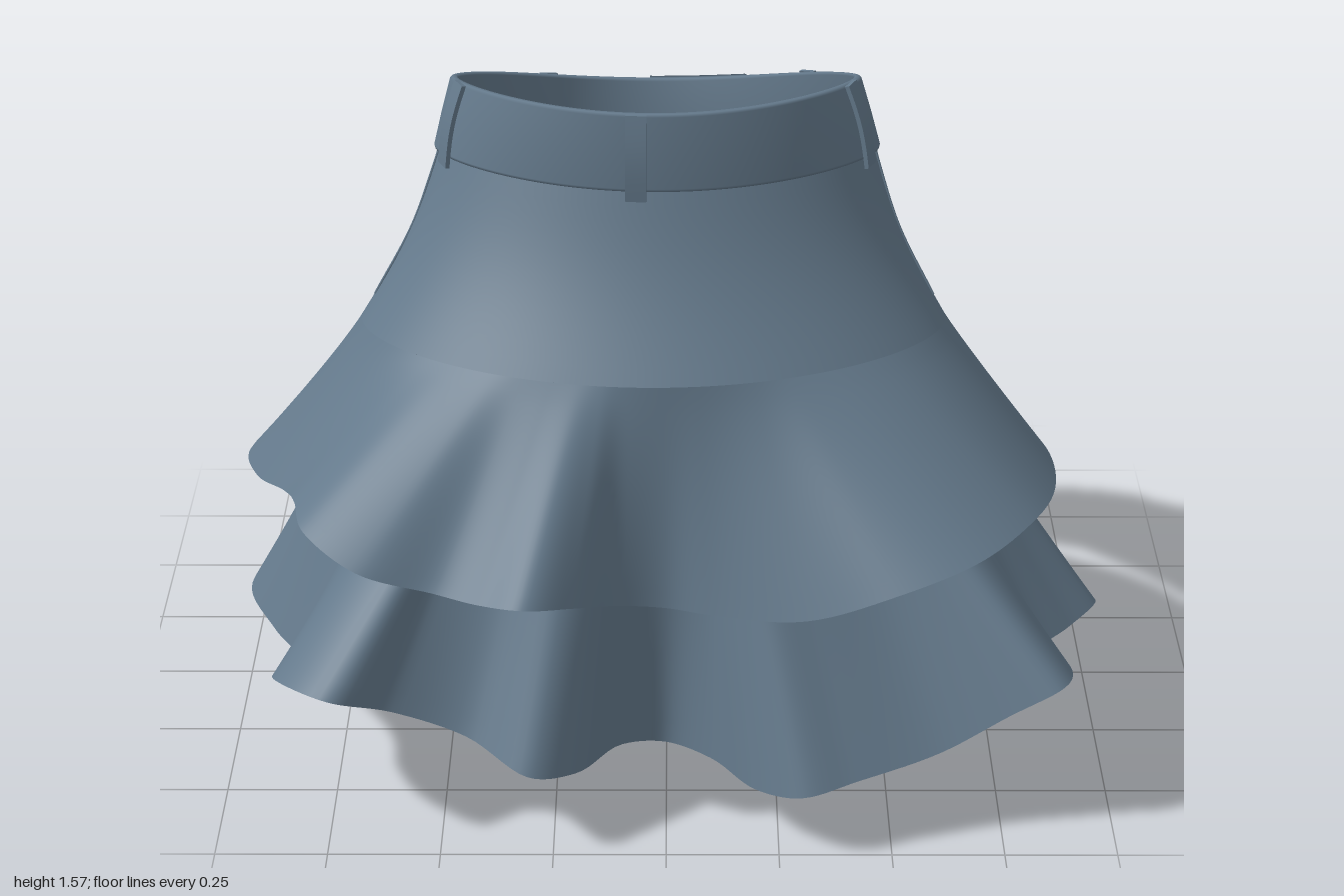
import * as THREE from 'three';

const fabric = new THREE.MeshStandardMaterial({ color: 0x64798b, side: THREE.DoubleSide });
fabric.name = 'slateDenim';

const V = (x, y, z) => new THREE.Vector3(x, y, z);
const rad = THREE.MathUtils.degToRad;

// Tilted elliptical ring; angle 0 is the front, growing towards +x; pinch above 1 points the back
const makeRing = (cx, rx, zFront, zBack, yFront, drop, power, pinch = 1) => {
  const cz = (zFront + zBack) / 2, rz = (zFront - zBack) / 2;
  const at = (a) => {
    const cos = Math.cos(a), c = cos < 0 ? -Math.pow(-cos, pinch) : cos;
    return V(cx + rx * Math.sin(a), yFront - drop * Math.pow((1 - c) / 2, power), cz + rz * c);
  };
  return { at, angleOf: (p) => Math.atan2((p.x - cx) / rx, (p.z - cz) / rz) };
};
const waistTop = makeRing(-0.025, 0.45, 0.265, -0.49, 1.572, 0.23, 1.8, 1.35);
const waistLow = makeRing(-0.022, 0.492, 0.28, -0.455, 1.4, 0.2, 1.9, 1.2);
const seam = makeRing(-0.03, 0.66, 0.485, -0.41, 1.03, 0.16, 1.8);
const lining = makeRing(-0.03, 0.635, 0.467, -0.39, 0.95, 0.14, 1.8);

// Sheet of quads from a point function of (u, v)
function sheet(name, fn, nu, nv, closed) {
  const pos = [], idx = [], cols = closed ? nu : nu + 1;
  for (let j = 0; j <= nv; j++)
    for (let i = 0; i < cols; i++) pos.push(...fn(i / nu, j / nv).toArray());
  for (let j = 0; j < nv; j++)
    for (let i = 0; i < nu; i++) {
      const k = (i + 1) % cols, a = j * cols + i, b = j * cols + k;
      idx.push(a, a + cols, b, b, a + cols, b + cols);
    }
  const g = new THREE.BufferGeometry();
  g.setAttribute('position', new THREE.Float32BufferAttribute(pos, 3));
  g.setIndex(idx);
  g.computeVertexNormals();
  const m = new THREE.Mesh(g, fabric);
  m.name = name;
  return m;
}

const outward = (a) => V(Math.sin(a), 0, Math.cos(a));
// Points on the waistband and on the yoke, pushed out by d
const bandAt = (a, t, d) => waistTop.at(a).lerp(waistLow.at(a), t).addScaledVector(outward(a), d);
const yokeAt = (a, t, d = 0) => {
  const p = waistLow.at(a).lerp(seam.at(a), t);
  return p.addScaledVector(outward(a), d - 0.02 * Math.sin(Math.PI * t));
};

// Hem waves, running from the front round through +x
const upperHem = [
  [0, .53, .57], [.1, .53, .6], [.3, .57, .69], [.5, .66, .73], [.67, .705, .67], [.8, .715, .51],
  [.87, .68, .3], [.88, .64, .05], [.83, .58, -.2], [.72, .5, -.4], [.6, .45, -.54], [.48, .43, -.6],
  [.44, .42, -.52], [.29, .38, -.58], [.12, .36, -.65], [0, .38, -.57], [-.13, .41, -.47], [-.24, .42, -.49],
  [-.36, .44, -.59], [-.5, .45, -.655], [-.6, .465, -.6], [-.71, .485, -.45], [-.9, .52, -.35], [-.985, .55, -.12],
  [-.94, .61, .12], [-.85, .7, .35], [-.81, .755, .5], [-.78, .75, .62], [-.66, .7, .71], [-.5, .645, .7],
  [-.4, .64, .74], [-.3, .65, .78], [-.2, .62, .72], [-.1, .56, .61],
];
const lowerHem = [
  [0, .1, .45], [.1, .11, .53], [.2, .14, .7], [.3, .17, .775], [.42, .19, .74], [.6, .23, .69], [.75, .32, .68],
  [.87, .385, .665], [.9, .34, .5], [.85, .28, .34], [.93, .28, .24], [1, .295, .15], [.93, .24, .04],
  [.86, .19, -.07], [.83, .155, -.2], [.8, .145, -.38], [.8, .13, -.53], [.71, .12, -.61], [.58, .08, -.56],
  [.45, .04, -.44], [.3, .002, -.48], [.2, .025, -.66], [.1, .04, -.78], [.025, .015, -.68], [-.07, .005, -.42],
  [-.2, .03, -.31], [-.32, .07, -.48], [-.41, .11, -.6], [-.52, .13, -.645], [-.63, .14, -.54], [-.75, .15, -.42],
  [-.91, .18, -.32], [-.998, .2, -.08], [-.92, .21, .14], [-.83, .24, .34], [-.87, .32, .5], [-.855, .385, .64],
  [-.73, .4, .75], [-.6, .33, .68], [-.44, .26, .67], [-.3, .22, .77], [-.2, .19, .71], [-.1, .14, .52],
];
function ruffle(name, top, hemPoints, power) {
  const hem = new THREE.CatmullRomCurve3(hemPoints.map((p) => V(...p)), true);
  return sheet(name, (u, v) => {
    const h = hem.getPoint(u), s = top.at(top.angleOf(h));
    const w = Math.pow(v, power);
    return V(THREE.MathUtils.lerp(s.x, h.x, w), THREE.MathUtils.lerp(s.y, h.y, v), THREE.MathUtils.lerp(s.z, h.z, w));
  }, 300, 16, true);
}

// Thin raised stitch line along the yoke, given as [degrees, t] pairs
function stitch(name, pairs, side = 1) {
  const curve = new THREE.CatmullRomCurve3(pairs.map(([a, t]) => yokeAt(side * rad(a), t, 0.001)));
  const m = new THREE.Mesh(new THREE.TubeGeometry(curve, 40, 0.003, 6), fabric);
  m.name = name;
  return m;
}

// Belt loop: narrow strip arched over the band
function beltLoop(deg) {
  const a = rad(deg), top = bandAt(a, 0, 0), low = bandAt(a, 1.12, 0);
  const up = top.clone().sub(low), len = up.length();
  up.normalize();
  const tangent = bandAt(a + 0.01, 0.5, 0).sub(bandAt(a - 0.01, 0.5, 0)).normalize();
  const out = tangent.clone().cross(up).normalize();
  tangent.crossVectors(up, out);
  const geo = new THREE.BoxGeometry(0.045, len, 0.01, 1, 10, 1);
  const p = geo.attributes.position;
  for (let i = 0; i < p.count; i++) {
    const s = p.getY(i) / len + 0.5;
    p.setZ(i, p.getZ(i) + 0.012 + 0.008 * Math.sin(Math.PI * s));
  }
  geo.computeVertexNormals();
  geo.applyMatrix4(new THREE.Matrix4().makeBasis(tangent, up, out));
  const m = new THREE.Mesh(geo, fabric);
  m.position.copy(top).add(low).multiplyScalar(0.5);
  m.name = 'beltLoop';
  return m;
}

export function createModel() {
  const skirt = new THREE.Group();
  skirt.name = 'ruffledSkirt';

  // Waistband: inner face, rounded rim, outer face and lower lip
  const bandProfile = [[1, -0.01], [0.5, -0.01], [0.03, -0.01], [0, -0.005], [0, 0.004],
    [0.03, 0.008], [0.5, 0.01], [0.96, 0.01], [1, 0.007], [1.01, -0.004]];
  skirt.add(sheet('waistband', (u, v) => {
    const [t, d] = bandProfile[Math.round(v * (bandProfile.length - 1))];
    return bandAt(u * Math.PI * 2, t, d);
  }, 120, bandProfile.length - 1, true));

  // Yoke and the two flared tiers
  skirt.add(sheet('yoke', (u, v) => yokeAt(u * Math.PI * 2, v), 240, 12, true));
  skirt.add(ruffle('upperRuffle', seam, upperHem, 1.05));
  skirt.add(ruffle('lowerRuffle', lining, lowerHem, 1.1));

  // Overlapping band end with its button
  const tabProfile = [[0.01, 0.004], [0.01, 0.018], [0.5, 0.02], [0.99, 0.018], [0.99, 0.004]];
  skirt.add(sheet('waistbandOverlap', (u, v) => {
    const [t, d] = tabProfile[Math.round(v * 4)];
    return bandAt(rad(152 + 30 * u), t, u === 0 ? 0.006 : d);
  }, 16, 4, false));
  const button = new THREE.Mesh(new THREE.SphereGeometry(0.03, 20, 12), fabric);
  button.name = 'button';
  button.scale.z = 0.3;
  button.position.copy(bandAt(rad(171), 0.5, 0.02));
  button.rotation.y = rad(165);
  skirt.add(button);

  // Fly, side seams and curved pocket openings
  skirt.add(stitch('flySeam', [[181, 0], [181, 0.5], [180, 1]]));
  for (const side of [1, -1]) {
    skirt.add(stitch('sideSeam', [[81, 0], [85, 0.45], [88, 0.87]], side));
    skirt.add(stitch('pocketSeam', [[87, 0.66], [101, 0.61], [115, 0.56], [121, 0.53], [125, 0.4], [126, 0.2], [131, 0]], side));
  }

  for (const deg of [-5, 68, -68, 131, -147]) skirt.add(beltLoop(deg));
  return skirt;
}
